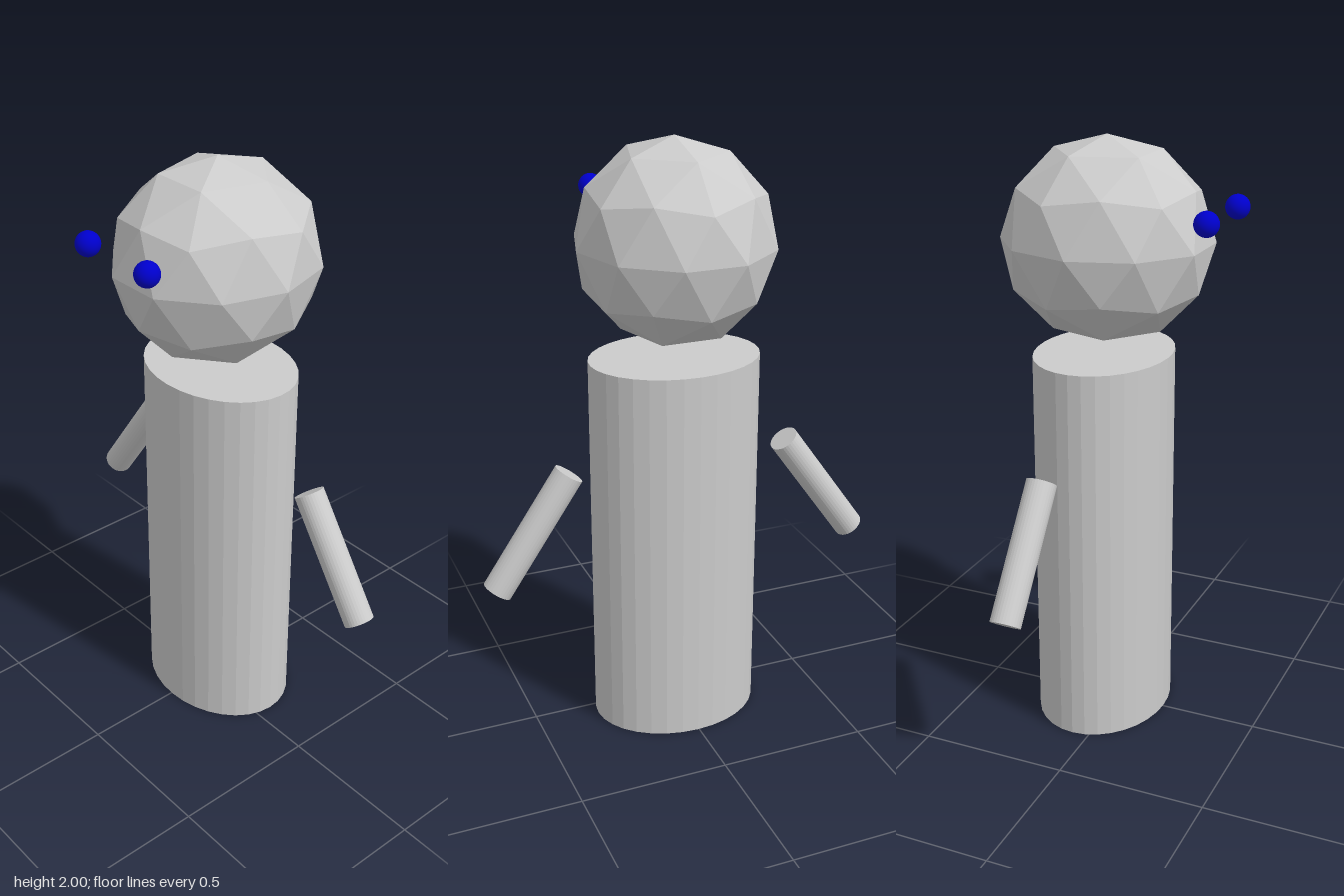
import * as THREE from 'three';

const grey = new THREE.MeshStandardMaterial({ color: 0xcccccc, flatShading: true });
const blue = new THREE.MeshStandardMaterial({ color: 0x0000cc });

function addPart(group, name, geometry, material, position) {
  const mesh = new THREE.Mesh(geometry, material);
  mesh.name = name;
  mesh.position.set(...position);
  group.add(mesh);
  return mesh;
}

// Straight round limb between two points
function addLimb(group, name, from, to, radius) {
  const a = new THREE.Vector3(...from);
  const b = new THREE.Vector3(...to);
  const dir = a.clone().sub(b);
  const geometry = new THREE.CylinderGeometry(radius, radius, dir.length(), 32);
  const mid = a.add(b).multiplyScalar(0.5);
  const mesh = addPart(group, name, geometry, grey, mid.toArray());
  mesh.quaternion.setFromUnitVectors(new THREE.Vector3(0, 1, 0), dir.normalize());
}

export function createModel() {
  const model = new THREE.Group();
  model.name = 'figure';

  // Oval column body
  const body = new THREE.CylinderGeometry(1, 1, 1.297, 32).scale(0.223, 1, 0.286);
  addPart(model, 'body', body, grey, [0.058, 0.6485, 0.004]);

  // Faceted head, turned so that a corner points straight up
  const head = new THREE.IcosahedronGeometry(1, 1);
  head.rotateZ(-Math.atan(2 / (1 + Math.sqrt(5))));
  head.scale(0.35, 0.333, 0.323);
  head.computeVertexNormals();
  addPart(model, 'head', head, grey, [0.045, 1.667, 0]);

  // Arms slant outward, clear of the body
  addLimb(model, 'leftArm', [0.107, 0.963, -0.375], [0.107, 0.589, -0.643], 0.05);
  addLimb(model, 'rightArm', [0.107, 0.963, 0.387], [0.107, 0.589, 0.641], 0.05);

  // Eyes float ahead of the face
  for (const [name, z] of [['leftEye', -0.142], ['rightEye', 0.142]]) {
    addPart(model, name, new THREE.SphereGeometry(0.04, 32, 16), blue, [-0.34, 1.777, z]);
  }

  return model;
}
